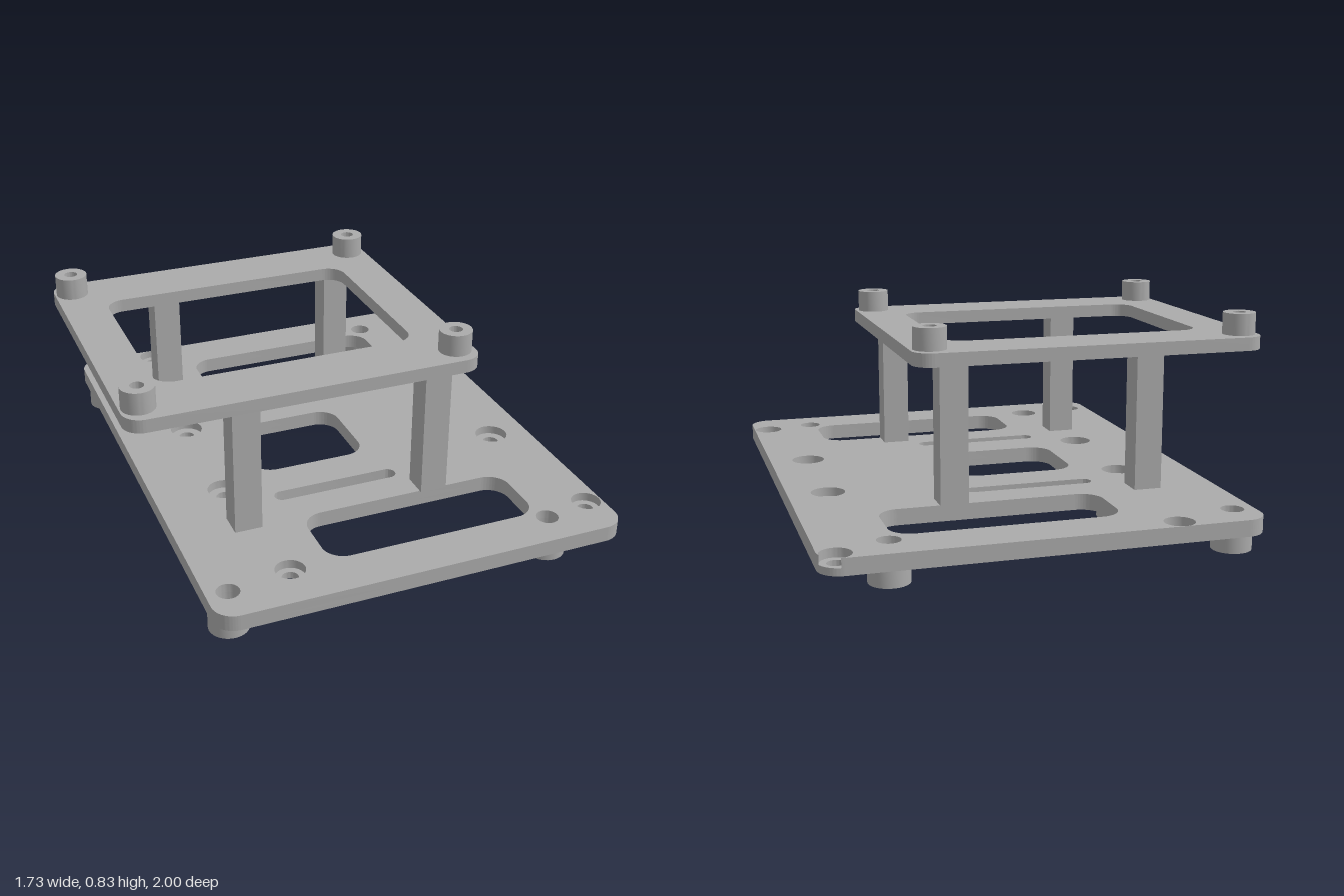
import * as THREE from 'three';
import { toCreasedNormals } from 'three/addons/utils/BufferGeometryUtils.js';

const rad = THREE.MathUtils.degToRad;

// Rounded rectangle from x0..x1, z0..z1; notch(path) may replace the back-left corner.
function roundedRect(PathType, x0, x1, z0, z1, r, corner) {
  const p = new PathType();
  const y0 = -z1, y1 = -z0;
  p.moveTo(x0 + r, y0);
  p.lineTo(x1 - r, y0);
  p.absarc(x1 - r, y0 + r, r, -Math.PI / 2, 0, false);
  p.lineTo(x1, y1 - r);
  if (corner) corner(p, x1 - r, y1 - r, r);
  else p.absarc(x1 - r, y1 - r, r, 0, Math.PI / 2, false);
  p.lineTo(x0 + r, y1);
  p.absarc(x0 + r, y1 - r, r, Math.PI / 2, Math.PI, false);
  p.lineTo(x0, y0 + r);
  p.absarc(x0 + r, y0 + r, r, Math.PI, Math.PI * 1.5, false);
  return p;
}

function circle(PathType, x, z, r) {
  const p = new PathType();
  p.absarc(x, -z, r, 0, Math.PI * 2, false);
  return p;
}

// Extrudes a floor-plan shape upward from y0 to y1.
function slab(shape, y0, y1) {
  const g = new THREE.ExtrudeGeometry(shape, { depth: y1 - y0, bevelEnabled: false, curveSegments: 20 });
  g.rotateX(-Math.PI / 2).translate(0, y0, 0);
  return toCreasedNormals(g, rad(35));
}

export function createModel() {
  const model = new THREE.Group();
  model.name = 'stackedMountingFrame';
  const grey = new THREE.MeshStandardMaterial({ color: 0xaaaaaa });
  grey.name = 'grey';

  const add = (name, geometry) => {
    const mesh = new THREE.Mesh(geometry, grey);
    mesh.name = name;
    model.add(mesh);
    return mesh;
  };
  const tube = (name, x, z, outer, inner, y0, y1) => {
    const s = circle(THREE.Shape, x, z, outer);
    s.holes.push(circle(THREE.Path, x, z, inner));
    add(name, slab(s, y0, y1));
  };
  const grid = (xs, zs) => xs.flatMap(x => zs.map(z => [x, z]));

  const tallFeet = grid([-0.43, 0.715], [-0.246, 0.246]);
  const shortFeet = grid([-0.62, 0.615], [-0.86, 0.86]);
  const edgeHoles = grid([-0.38, 0.805], [-0.945, 0.82]);
  const bosses = grid([-0.8, 0.385], [-0.502, 0.502]);

  // Window openings shared by both layers of the base
  const windows = [[-0.27, 0.185, -0.185, 0.185, 0.08]];
  for (const s of [-1, 1]) {
    windows.push([-0.23, 0.595, s * 0.675 - 0.145, s * 0.675 + 0.145, 0.08]);
    windows.push([-0.27, 0.225, s * 0.37 - 0.03, s * 0.37 + 0.03, 0.029]);
  }
  const baseLayer = (corner) => {
    const s = roundedRect(THREE.Shape, -0.7, 0.865, -1, 1, 0.08, corner);
    windows.forEach(w => s.holes.push(roundedRect(THREE.Path, ...w)));
    shortFeet.forEach(([x, z]) => s.holes.push(circle(THREE.Path, x, z, 0.042)));
    return s;
  };

  // Base lower layer: narrow through holes
  const lower = baseLayer();
  [...tallFeet, ...edgeHoles].forEach(([x, z]) => lower.holes.push(circle(THREE.Path, x, z, 0.03)));
  add('basePlateLower', slab(lower, 0.128, 0.155));

  // Base upper layer: wide counterbores, one of which breaks through the corner
  const upper = baseLayer((p, cx, cy, r) => {
    p.absarc(cx, cy, r, 0, rad(20.5), false);
    p.absarc(0.805, 0.945, 0.055, rad(3.1), rad(99.4), true);
    p.absarc(cx, cy, r, rad(82.1), Math.PI / 2, false);
  });
  tallFeet.forEach(([x, z]) => upper.holes.push(circle(THREE.Path, x, z, 0.063)));
  edgeHoles.forEach(([x, z]) => {
    if (x < 0.5 || z > 0) upper.holes.push(circle(THREE.Path, x, z, 0.055));
  });
  add('basePlateUpper', slab(upper, 0.155, 0.188));

  // Hollow feet under the base
  tallFeet.forEach(([x, z]) => tube('tallFoot', x, z, 0.081, 0.04, 0, 0.128));
  shortFeet.forEach(([x, z]) => tube('shortFoot', x, z, 0.073, 0.042, 0.045, 0.128));

  // Square posts
  grid([-0.433, 0.308], [-0.49, 0.49]).forEach(([x, z]) => {
    add('post', new THREE.BoxGeometry(0.104, 0.512, 0.1)).position.set(x, 0.444, z);
  });

  // Upper frame with a large opening and hollow bosses
  const frame = roundedRect(THREE.Shape, -0.868, 0.458, -0.597, 0.597, 0.07);
  frame.holes.push(roundedRect(THREE.Path, -0.7, 0.288, -0.37, 0.37, 0.07));
  bosses.forEach(([x, z]) => frame.holes.push(circle(THREE.Path, x, z, 0.025)));
  add('upperFrame', slab(frame, 0.7, 0.75));
  bosses.forEach(([x, z]) => tube('boss', x, z, 0.061, 0.025, 0.75, 0.832));

  return model;
}
